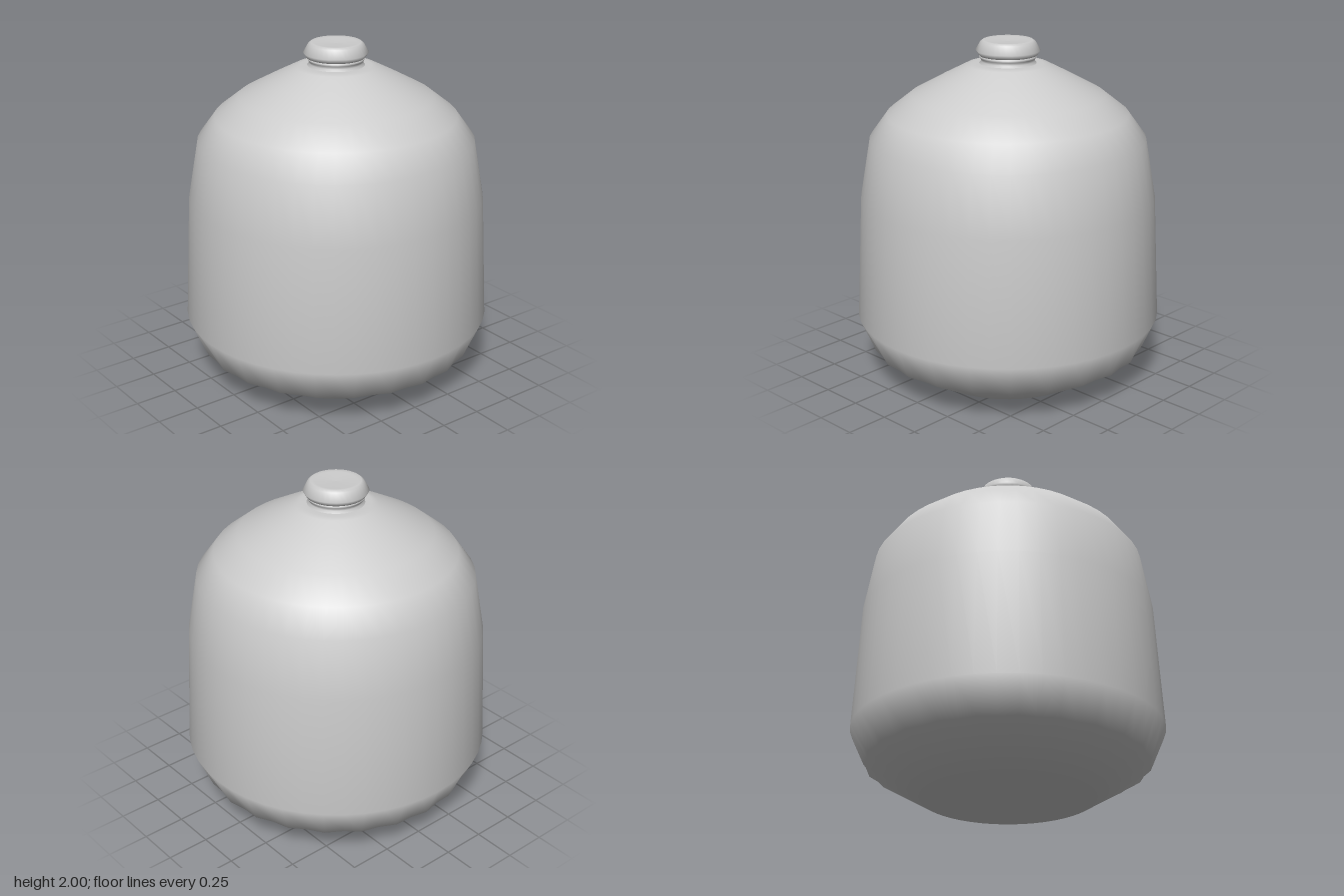
import * as THREE from 'three';

const material = new THREE.MeshStandardMaterial({ color: 0xcccccc, side: THREE.DoubleSide });

// Smooth turned part from [radius, height] pairs, listed bottom to top
function turned(name, profile, segments) {
  const points = profile.map(([r, y]) => new THREE.Vector2(r, y));
  const mesh = new THREE.Mesh(new THREE.LatheGeometry(points, segments), material);
  mesh.name = name;
  return mesh;
}

// Scale the radius of each vertex by a rule of its angle and height
function ripple(mesh, rule) {
  const p = mesh.geometry.attributes.position;
  for (let i = 0; i < p.count; i++) {
    const x = p.getX(i), z = p.getZ(i);
    const k = rule(Math.atan2(z, x), p.getY(i));
    p.setX(i, x * k);
    p.setZ(i, z * k);
  }
}

export function createModel() {
  const group = new THREE.Group();
  group.name = 'jug';

  // Body: flat base, bevelled foot, tapering wall and domed shoulder
  const body = turned('body', [
    [0, 0], [0.5, 0], [0.81, 0.18], [0.895, 0.375], [0.857, 1.1],
    [0.797, 1.44], [0.695, 1.58], [0.555, 1.69], [0.38, 1.785],
    [0.235, 1.86], [0.2, 1.867], [0.15, 1.867],
  ], 48);
  // Slight scallops around the foot
  ripple(body, (a, y) => (Math.abs(y - 0.18) < 0.01 ? 0.99 + 0.01 * Math.cos(24 * a) : 1));
  group.add(body);

  // Neck with a small bead below the cap
  group.add(turned('neck', [
    [0.17, 1.862], [0.15, 1.878], [0.158, 1.895], [0.165, 1.908], [0.145, 1.925],
  ], 32));

  // Cap: bevelled rim with a shallow dished top
  const cap = turned('cap', [
    [0.13, 1.912], [0.168, 1.914], [0.185, 1.94], [0.158, 1.988],
    [0.142, 1.999], [0.12, 1.995], [0, 1.99],
  ], 36);
  // Worn dents on the right-hand rim
  ripple(cap, (a, y) => (y < 1.98 && Math.abs(Math.abs(a) - 0.62) < 0.1 ? 0.975 : 1));
  group.add(cap);

  return group;
}
